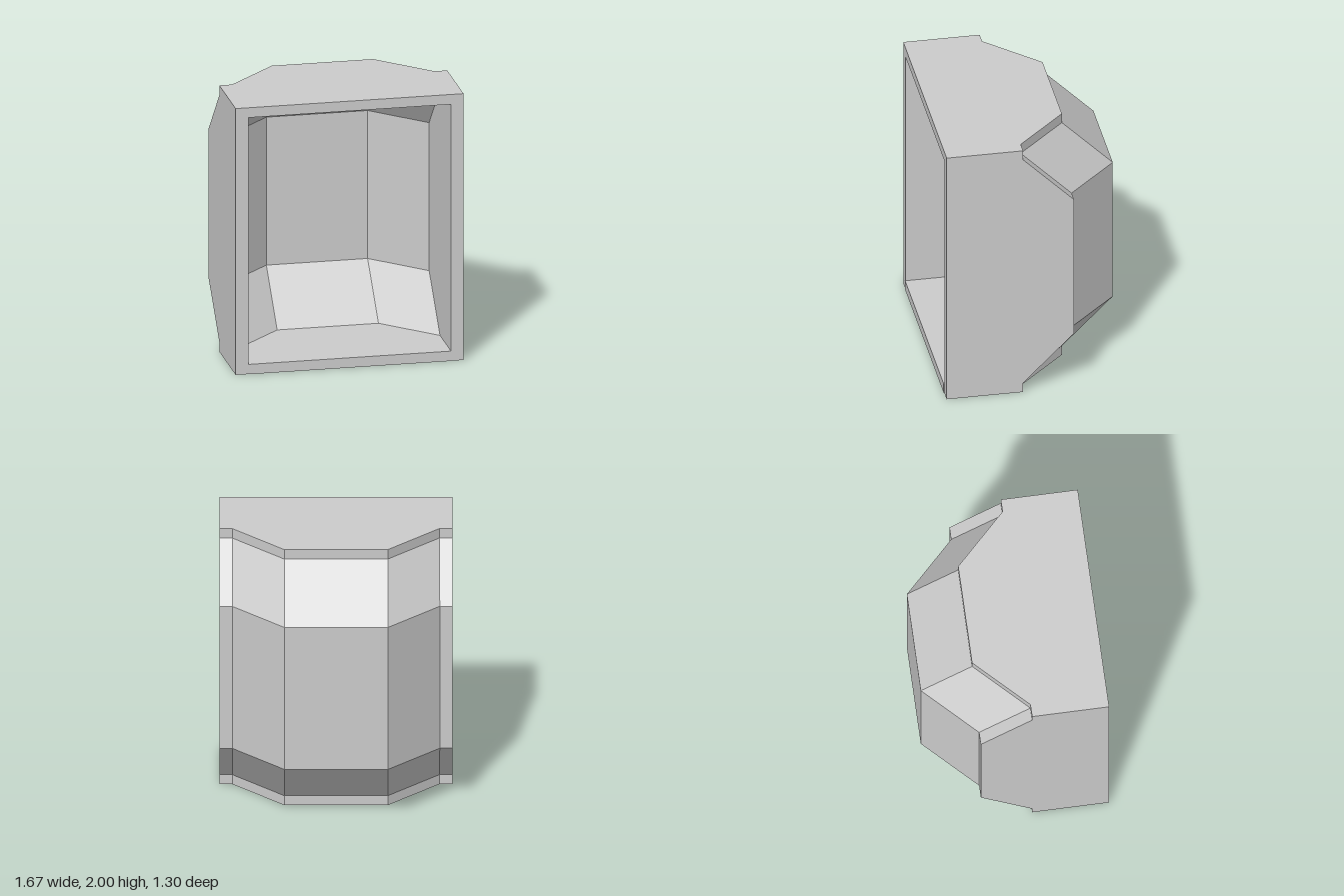
import * as THREE from 'three';

const U = 2 / 5.4;     // one grid unit; the body is 5.4 units tall
const FRONT = 1.75;    // front plane, in units
const material = new THREE.MeshStandardMaterial({ color: 0xcccccc, flatShading: true });

// Back surface: bulges back by one unit across the middle of x and again across the middle of y
const bulge = (t) => THREE.MathUtils.clamp(2 - Math.abs(t), 0, 1);
const backZ = (x, y, depth) => FRONT - depth - bulge(x) - THREE.MathUtils.clamp(2.5 - Math.abs(y - 2.7), 0, 1);

// Open-fronted faceted tub: back facets plus four walls; flip turns its faces inward
function tub(name, xs, ys, depth, flip) {
  const pos = [];
  const quad = (a, b, c, d, reverse) => {
    const order = reverse !== flip ? [a, c, b, a, d, c] : [a, b, c, a, c, d];
    order.forEach((p) => pos.push(...p.map((v) => v * U)));
  };
  const back = (x, y) => [x, y, backZ(x, y, depth)];
  const front = (x, y) => [x, y, FRONT];
  const last = (list) => list[list.length - 1];

  for (let i = 0; i < xs.length - 1; i++) {
    const [x0, x1] = [xs[i], xs[i + 1]];
    // back facets
    for (let j = 0; j < ys.length - 1; j++) {
      const [y0, y1] = [ys[j], ys[j + 1]];
      quad(back(x0, y0), back(x0, y1), back(x1, y1), back(x1, y0), false);
    }
    // floor and ceiling
    for (const y of [ys[0], last(ys)]) {
      quad(back(x0, y), front(x0, y), front(x1, y), back(x1, y), y === ys[0]);
    }
  }
  // side walls
  for (let j = 0; j < ys.length - 1; j++) {
    const [y0, y1] = [ys[j], ys[j + 1]];
    for (const x of [xs[0], last(xs)]) {
      quad(back(x, y0), back(x, y1), front(x, y1), front(x, y0), x === xs[0]);
    }
  }
  const geometry = new THREE.BufferGeometry();
  geometry.setAttribute('position', new THREE.Float32BufferAttribute(pos, 3));
  geometry.computeVertexNormals();
  const mesh = new THREE.Mesh(geometry, material);
  mesh.name = name;
  return mesh;
}

const rectangle = (PathType, x, y0, y1) => new PathType(
  [[-x, y0], [x, y0], [x, y1], [-x, y1]].map(([a, b]) => new THREE.Vector2(a * U, b * U)));

export function createModel() {
  const model = new THREE.Group();
  model.name = 'facetedHousing';

  // outer shell and recessed inner lining
  model.add(tub('outerShell', [-2.25, -2, -1, 1, 2, 2.25], [0, 0.2, 1.2, 4.2, 5.2, 5.4], 1.5, false));
  model.add(tub('innerLining', [-2, -1, 1, 2], [0.2, 1.2, 4.2, 5.2], 1, true));

  // flat frame around the opening
  const frame = rectangle(THREE.Shape, 2.25, 0, 5.4);
  frame.holes.push(rectangle(THREE.Path, 2, 0.2, 5.2));
  const rim = new THREE.Mesh(new THREE.ShapeGeometry(frame), material);
  rim.name = 'frontRim';
  rim.position.z = FRONT * U;
  model.add(rim);

  // bottom strip standing very slightly proud of the rim
  const sill = new THREE.Mesh(new THREE.BoxGeometry(4 * U, 0.2 * U, 0.004), material);
  sill.name = 'frontSill';
  sill.position.set(0, 0.1 * U, FRONT * U + 0.002);
  model.add(sill);

  return model;
}
